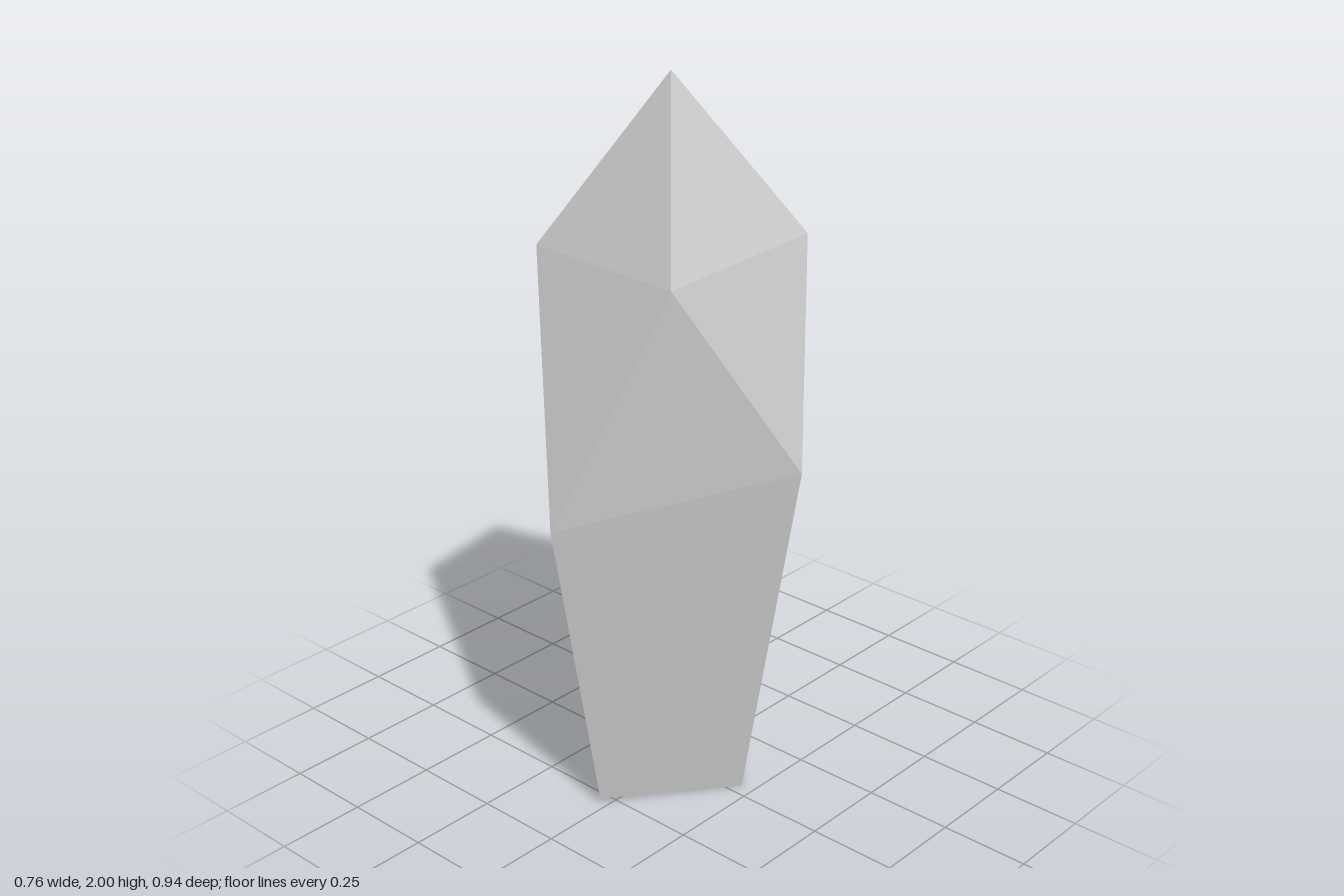
import * as THREE from 'three';
import { ConvexGeometry } from 'three/addons/geometries/ConvexGeometry.js';

// A four-sided crystal: base ring, wide waist, shoulders between the waist corners, and a tip.
export function createModel() {
  const group = new THREE.Group();
  group.name = 'crystal';

  // Corners of each ring, going round from the front by way of +x
  const base = [[-0.02, 0.015, 0.29], [0.21, 0, -0.037], [-0.015, 0.02, -0.29], [-0.31, 0.02, -0.05]];
  const waist = [[0, 0.9, 0.472], [0.38, 1, -0.055], [0, 1.07, -0.472], [-0.383, 1.1, -0.055]];
  const shoulders = [[0.205, 1.53, 0.247], [0.232, 1.565, -0.24], [-0.19, 1.43, -0.24], [-0.258, 1.545, 0.245]];
  const tip = [0.013, 2, 0.035];

  // The facets are the hull of these corners
  const corners = [...base, ...waist, ...shoulders, tip].map((p) => new THREE.Vector3(...p));
  const shard = new THREE.Mesh(
    new ConvexGeometry(corners),
    new THREE.MeshStandardMaterial({ color: 0xcccccc, flatShading: true })
  );
  shard.name = 'crystalShard';
  group.add(shard);
  return group;
}
